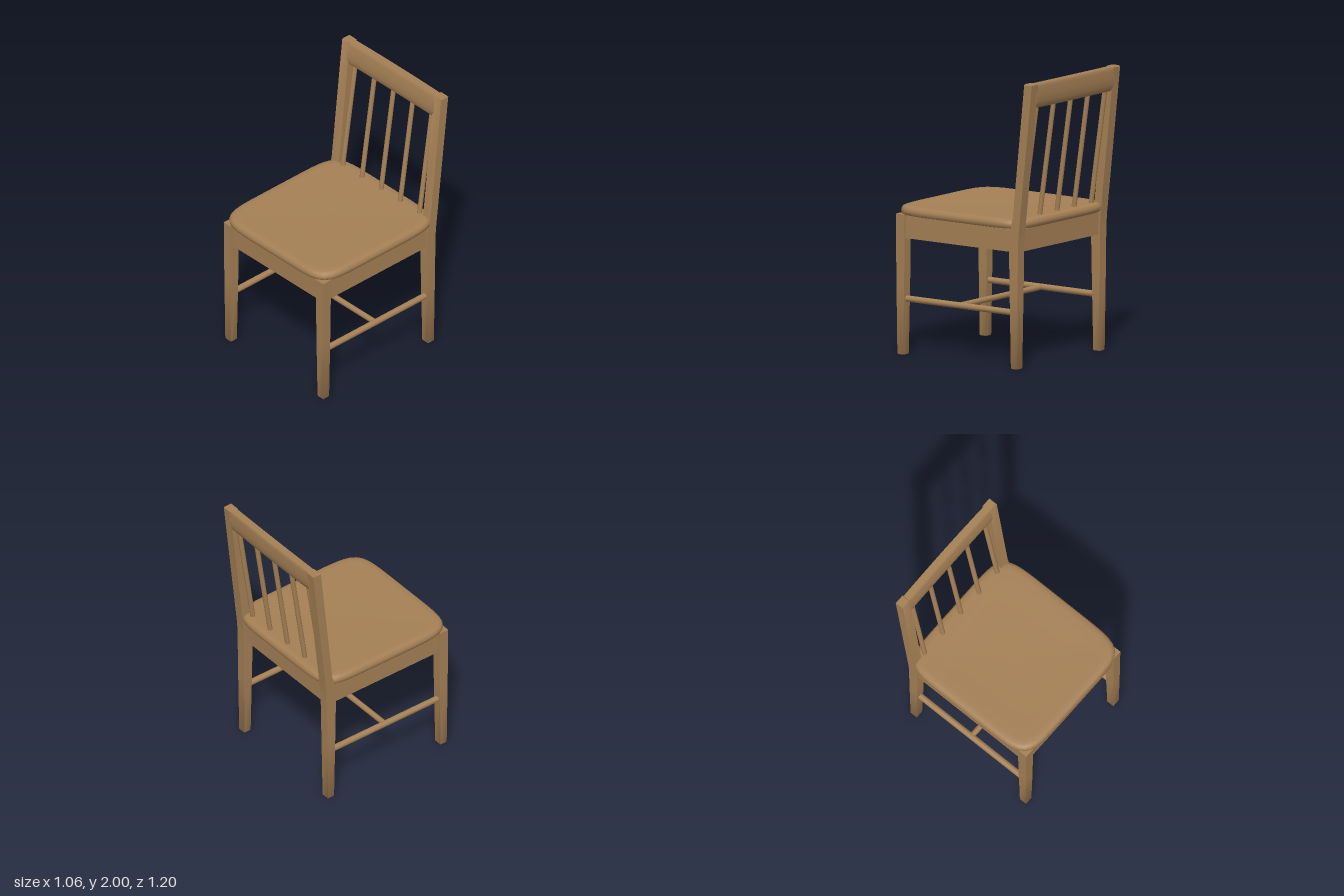
import * as THREE from 'three';
import { toCreasedNormals } from 'three/addons/utils/BufferGeometryUtils.js';

const wood = new THREE.MeshStandardMaterial({ color: 0xa58055 });
wood.name = 'wood';

// Closed solid through horizontal rings, bottom to top, each counterclockwise from above
function loft(rings) {
  const n = rings[0].length, pos = [], idx = [];
  const centre = r => r.reduce((s, p) => s.map((v, k) => v + p[k] / n), [0, 0, 0]);
  rings.forEach(r => r.forEach(p => pos.push(...p)));
  pos.push(...centre(rings[0]), ...centre(rings[rings.length - 1]));
  const low = rings.length * n, high = low + 1, last = (rings.length - 1) * n;
  for (let i = 0; i < n; i++) {
    const j = (i + 1) % n;
    for (let k = 0; k < last; k += n) {
      idx.push(k + i, k + j, k + n + j, k + i, k + n + j, k + n + i);
    }
    idx.push(low, j, i, high, last + i, last + j);
  }
  const g = new THREE.BufferGeometry();
  g.setAttribute('position', new THREE.Float32BufferAttribute(pos, 3));
  g.setIndex(idx);
  return toCreasedNormals(g, 0.6);
}

// Rectangular ring
const rect = (y, x0, x1, z0, z1) => [[x1, y, z1], [x1, y, z0], [x0, y, z0], [x0, y, z1]];

// Rounded-square ring for the seat
function seatRing([inset, y]) {
  const ring = [], a = 0.53 - inset, b = 0.553 - inset, n = 7;
  for (let i = 0; i < 96; i++) {
    const t = (i / 96) * Math.PI * 2, c = Math.cos(t), s = Math.sin(t);
    const r = 1 / Math.pow(Math.abs(c) ** n + Math.abs(s) ** n, 1 / n);
    ring.push([a * r * c, y, 0.043 - b * r * s]);
  }
  return ring;
}

// Top-rail ring: front and back edges bow slightly backwards in the middle
function railRing([y, zBack, zFront]) {
  const front = [], back = [], w = 0.435;
  for (let i = 0; i <= 12; i++) {
    const u = (i / 12) * 2 - 1, bow = 0.005 * (1 - u * u);
    front.push([u * w, y, zFront - bow * 0.4]);
    back.push([-u * w, y, zBack - bow]);
  }
  return [...front, ...back];
}

export function createModel() {
  const chair = new THREE.Group();
  chair.name = 'chair';

  function add(name, geometry) {
    const m = new THREE.Mesh(geometry, wood);
    m.name = name;
    chair.add(m);
    return m;
  }
  function box(name, w, h, d, x, y, z) {
    add(name, new THREE.BoxGeometry(w, h, d)).position.set(x, y, z);
  }
  function rod(name, a, b, radius) {
    const from = new THREE.Vector3(...a), to = new THREE.Vector3(...b);
    const dir = to.clone().sub(from);
    const m = add(name, new THREE.CylinderGeometry(radius, radius, dir.length(), 20));
    m.position.copy(from).add(to).multiplyScalar(0.5);
    m.quaternion.setFromUnitVectors(new THREE.Vector3(0, 1, 0), dir.normalize());
  }

  // Seat with rounded rim and a shallow scoop
  add('seat', loft([
    [0.04, 0.972], [0.012, 0.977], [0.003, 0.988], [0, 1.005], [0.003, 1.02],
    [0.012, 1.033], [0.028, 1.039], [0.06, 1.04], [0.14, 1.036], [0.26, 1.031], [0.4, 1.029],
  ].map(seatRing)));

  for (const [side, s] of [['left', 1], ['right', -1]]) {
    const section = (y, xi, xo, z0, z1) =>
      rect(y, Math.min(s * xi, s * xo), Math.max(s * xi, s * xo), z0, z1);

    // Tapered front leg
    add(side + 'FrontLeg', loft([
      section(0, 0.442, 0.49, 0.515, 0.56),
      section(0.008, 0.437, 0.495, 0.51, 0.565),
      section(0.5, 0.431, 0.499, 0.503, 0.57),
      section(0.98, 0.428, 0.502, 0.498, 0.573),
    ]));

    // Back leg running up into the leaning post
    add(side + 'BackLegAndPost', loft([
      section(0, 0.442, 0.49, -0.465, -0.42),
      section(0.008, 0.437, 0.495, -0.47, -0.415),
      section(0.5, 0.431, 0.499, -0.476, -0.408),
      section(0.88, 0.428, 0.5, -0.481, -0.402),
      section(0.97, 0.426, 0.5, -0.488, -0.412),
      section(1.05, 0.426, 0.5, -0.497, -0.435),
      section(1.992, 0.426, 0.5, -0.6, -0.534),
      section(2, 0.432, 0.494, -0.595, -0.54),
    ]));

    // Side apron and side stretcher
    box(side + 'Apron', 0.04, 0.155, 0.92, s * 0.47, 0.8925, 0.05);
    rod(side + 'Stretcher', [s * 0.465, 0.39, -0.43], [s * 0.465, 0.39, 0.53], 0.022);
  }

  // Front and back aprons, cross stretcher
  box('frontApron', 0.87, 0.155, 0.04, 0, 0.8925, 0.54);
  box('backApron', 0.87, 0.155, 0.04, 0, 0.8925, -0.447);
  rod('crossStretcher', [-0.465, 0.39, 0.05], [0.465, 0.39, 0.05], 0.02);

  // Top rail, slightly bulging and bowed
  add('topRail', loft([
    [1.825, -0.568, -0.527], [1.835, -0.58, -0.521], [1.87, -0.591, -0.517],
    [1.92, -0.595, -0.521], [1.97, -0.594, -0.532], [1.988, -0.593, -0.537], [1.995, -0.589, -0.542],
  ].map(railRing)));

  // Back spindles
  for (let i = -2; i <= 2; i++) {
    rod('backSpindle', [i * 0.1935, 1.01, -0.431], [i * 0.1935, 1.85, -0.556], 0.017);
  }

  return chair;
}
